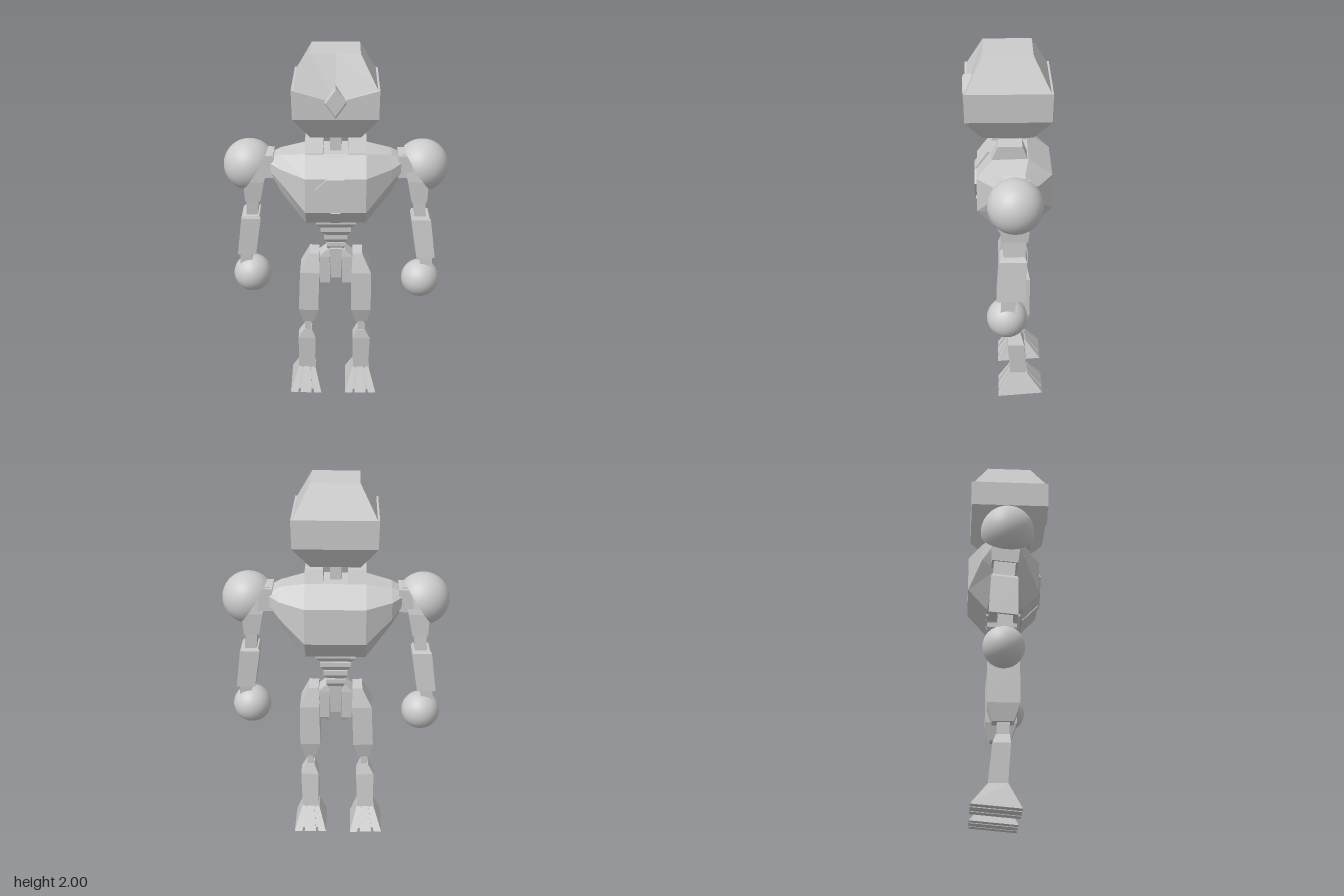
import * as THREE from 'three';

const grey = new THREE.MeshStandardMaterial({ color: 0xcccccc, flatShading: true });
const smooth = new THREE.MeshStandardMaterial({ color: 0xcccccc });

function addMesh(parent, name, geometry, material = grey) {
  const mesh = new THREE.Mesh(geometry, material);
  mesh.name = name;
  parent.add(mesh);
  return mesh;
}

function addGroup(parent, name) {
  const group = new THREE.Group();
  group.name = name;
  parent.add(group);
  return group;
}

// Faceted closed solid through rings of [x, y, z] points; faces are turned outwards.
function loft(parent, name, rings) {
  const n = rings[0].length;
  const tris = [];
  for (let r = 0; r < rings.length - 1; r++) {
    for (let i = 0; i < n; i++) {
      const j = (i + 1) % n;
      const a = rings[r][i], b = rings[r][j], c = rings[r + 1][j], d = rings[r + 1][i];
      tris.push([a, b, c], [a, c, d]);
    }
  }
  const first = rings[0], last = rings[rings.length - 1];
  for (let i = 1; i < n - 1; i++) {
    tris.push([first[0], first[i + 1], first[i]], [last[0], last[i], last[i + 1]]);
  }
  const v = (p) => new THREE.Vector3(...p);
  const volume = tris.reduce((sum, [a, b, c]) => sum + v(a).dot(v(b).cross(v(c))), 0);
  if (volume < 0) tris.forEach((t) => t.reverse());
  const geometry = new THREE.BufferGeometry();
  geometry.setAttribute('position', new THREE.Float32BufferAttribute(tris.flat(2), 3));
  geometry.computeVertexNormals();
  return addMesh(parent, name, geometry);
}

// Horizontal rectangle; s mirrors it in x.
const rect = (s, y, x0, x1, z0, z1) =>
  [[s * x0, y, z0], [s * x1, y, z0], [s * x1, y, z1], [s * x0, y, z1]];

// Solid made of stacked rectangles [y, x0, x1, z0, z1].
const stack = (parent, name, s, rows) => loft(parent, name, rows.map((r) => rect(s, ...r)));

// Thin plate facing the front.
const plate = (parent, name, points, depth) =>
  loft(parent, name, [points, points.map(([x, y, z]) => [x, y, z - depth])]);

// Turn a group about a pivot point.
function tilt(group, pivot, axis, angle) {
  group.quaternion.setFromAxisAngle(axis, angle);
  group.position.copy(pivot).sub(pivot.clone().applyAxisAngle(axis, angle));
}

function buildHead(root) {
  const head = addGroup(root, 'head');
  // The brow dips in the middle of the face
  const ring = (y, h, dip) => [[-h, y, -h], [h, y, -h], [h, y, h], [0, y - dip, h], [-h, y, h]];
  loft(head, 'skull', [
    ring(1.58, 0.125, 0), ring(1.70, 0.21, 0), ring(1.845, 0.213, 0.06),
    ring(1.845, 0.203, 0.06), ring(2.0, 0.12, 0),
  ]);
  const diamond = (k, z) =>
    [[0, 1.785 + 0.078 * k, z], [0.055 * k, 1.785, z], [0, 1.785 - 0.078 * k, z], [-0.055 * k, 1.785, z]];
  loft(head, 'browGem', [diamond(1, 0.17), diamond(1, 0.215), diamond(0.85, 0.222)]);
  stack(root, 'neck', 1, [[1.38, -0.03, 0.03, -0.03, 0.03], [1.62, -0.03, 0.03, -0.03, 0.03]]);
}

function buildTorso(root) {
  const torso = addGroup(root, 'torso');
  // Side profiles [z, y] lofted across the width
  const sections = [
    [0.155, [[0.08, 1.475], [0.158, 1.37], [0.158, 1.185], [0.07, 1.092],
      [-0.12, 1.085], [-0.22, 1.2], [-0.22, 1.39], [-0.1, 1.48]]],
    [0.285, [[0.03, 1.455], [0.075, 1.39], [0.075, 1.32], [0.03, 1.25],
      [-0.08, 1.25], [-0.15, 1.31], [-0.15, 1.4], [-0.08, 1.455]]],
    [0.335, [[0.02, 1.43], [0.04, 1.41], [0.04, 1.36], [0.02, 1.34],
      [-0.08, 1.34], [-0.1, 1.36], [-0.1, 1.41], [-0.08, 1.43]]],
  ];
  const side = (s) => sections.map(([x, profile]) => profile.map(([z, y]) => [s * x, y, z]));
  loft(torso, 'chest', [...side(-1).reverse(), ...side(1)]);

  // Raised centre plates of the chest
  plate(torso, 'breastboneStem',
    [[-0.045, 1.465, 0.1], [0.045, 1.465, 0.1], [0.045, 1.37, 0.17], [-0.045, 1.37, 0.17]], 0.04);
  plate(torso, 'breastbonePlate',
    [[-0.045, 1.37, 0.17], [0.045, 1.37, 0.17], [0.105, 1.315, 0.17], [0, 1.19, 0.17], [-0.105, 1.315, 0.17]], 0.04);
  plate(torso, 'bellyBlock',
    [[-0.025, 1.185, 0.166], [0.025, 1.185, 0.166], [0.025, 1.09, 0.076], [-0.025, 1.09, 0.076]], 0.04);

  for (const s of [-1, 1]) {
    stack(torso, 'collar', s, [[1.44, 0.063, 0.155, -0.11, 0.09], [1.48, 0.063, 0.155, -0.095, 0.08], [1.545, 0.063, 0.155, -0.07, 0.05]]);
    stack(torso, 'shoulderJoint', s, [[1.33, 0.32, 0.4, -0.1, 0.04], [1.45, 0.32, 0.38, -0.1, 0.04]]);
  }

  // Waist of overlapping segments, each narrower than the one above
  const widths = [0.105, 0.08, 0.062, 0.05];
  widths.forEach((w, i) => {
    const y = 1.1 - i * 0.052, front = 0.06 - i * 0.018, back = -0.122 + i * 0.006;
    stack(torso, 'waistSegment', 1, [
      [y - 0.056, -w * 0.72, w * 0.72, back + 0.022, front - 0.025],
      [y - 0.025, -w, w, back, front],
      [y, -w, w, back, front],
    ]);
  });

  // Pelvis
  stack(torso, 'pelvis', 1, [[0.73, -0.027, 0.027, -0.075, 0.005], [0.91, -0.035, 0.035, -0.09, 0.015]]);
  for (const s of [-1, 1]) {
    stack(torso, 'hipFlap', s, [
      [0.68, 0.033, 0.045, -0.07, 0.0], [0.7, 0.033, 0.085, -0.08, 0.01],
      [0.86, 0.033, 0.095, -0.085, 0.015], [0.9, 0.02, 0.05, -0.08, 0.01],
    ]);
  }
}

function buildArm(root, s) {
  const arm = addGroup(root, s > 0 ? 'leftArm' : 'rightArm');
  // Shoulder dome with a closed, slanted underside
  const r = 0.135, cut = 1.79;
  const dome = addGroup(arm, 'shoulder');
  dome.position.set(s * 0.447, 1.38, -0.028);
  dome.quaternion.setFromUnitVectors(new THREE.Vector3(0, 1, 0), new THREE.Vector3(s * 0.838, 0.546, 0).normalize());
  addMesh(dome, 'shoulderDome', new THREE.SphereGeometry(r, 40, 24, 0, Math.PI * 2, 0, cut), smooth);
  const base = addMesh(dome, 'shoulderBase', new THREE.CircleGeometry(r * Math.sin(cut), 40));
  base.rotation.x = Math.PI / 2;
  base.position.y = r * Math.cos(cut);

  stack(arm, 'upperArm', s, [
    [1.195, 0.395, 0.475, -0.09, 0.042], [1.31, 0.372, 0.48, -0.1, 0.045], [1.455, 0.335, 0.4, -0.085, 0.03],
  ]);
  stack(arm, 'elbow', s, [[1.09, 0.415, 0.475, -0.075, 0.03], [1.2, 0.405, 0.467, -0.08, 0.03]]);
  stack(arm, 'forearm', s, [
    [0.882, 0.43, 0.528, -0.077, 0.065], [1.095, 0.397, 0.5, -0.085, 0.05], [1.11, 0.405, 0.49, -0.078, 0.043],
  ]);
  stack(arm, 'wrist', s, [[0.8, 0.455, 0.52, -0.025, 0.045], [0.9, 0.45, 0.515, -0.035, 0.04]]);
  addMesh(arm, 'hand', new THREE.SphereGeometry(0.102, 40, 24), smooth).position.set(s * 0.457, 0.738, 0.012);
  // The right arm swings slightly back
  if (s < 0) tilt(arm, new THREE.Vector3(0, 1.38, -0.028), new THREE.Vector3(1, 0, 0), 0.09);
}

function buildLeg(root, s) {
  const leg = addGroup(root, s > 0 ? 'leftLeg' : 'rightLeg');
  stack(leg, 'thigh', s, [
    [0.46, 0.11, 0.17, -0.09, 0.018], [0.55, 0.085, 0.192, -0.115, 0.05],
    [0.78, 0.085, 0.19, -0.115, 0.05], [0.885, 0.09, 0.142, -0.09, 0.02],
  ]);
  stack(leg, 'knee', s, [[0.37, 0.122, 0.158, -0.065, -0.005], [0.48, 0.122, 0.158, -0.065, 0.0]]);
  stack(leg, 'shin', s, [
    [0.13, 0.095, 0.185, -0.105, -0.012], [0.34, 0.095, 0.192, -0.088, 0.003], [0.395, 0.118, 0.162, -0.07, -0.002],
  ]);
  // Foot of three flaring toes over a slimmer core; the sole rises to the back
  const wedge = (name, t0, t1, b0, b1, inset) => {
    const x = (v) => s * (0.14 + v);
    const front = 0.055 - inset, back = -0.192 + inset, lift = inset * 0.6;
    loft(leg, name, [
      [[x(b0), 0.025 + lift, back], [x(b1), 0.025 + lift, back], [x(b1), 0.004 + lift, front], [x(b0), 0.004 + lift, front]],
      rect(1, 0.138 - inset * 0.2, x(t0), x(t1), -0.107 + inset * 0.3, -0.01 - inset * 0.3),
    ]);
  };
  wedge('footCore', -0.044, 0.044, -0.07, 0.07, 0.02);
  wedge('middleToe', -0.02, 0.02, -0.032, 0.032, 0);
  wedge('innerToe', -0.048, -0.028, -0.088, -0.045, 0);
  wedge('outerToe', 0.028, 0.048, 0.045, 0.088, 0);
  // The right leg stands slightly outwards
  if (s < 0) tilt(leg, new THREE.Vector3(-0.14, 0.88, 0), new THREE.Vector3(0, 0, 1), -0.035);
}

export function createModel() {
  const root = new THREE.Group();
  root.name = 'robot';
  buildHead(root);
  buildTorso(root);
  for (const s of [-1, 1]) {
    buildArm(root, s);
    buildLeg(root, s);
  }
  return root;
}
